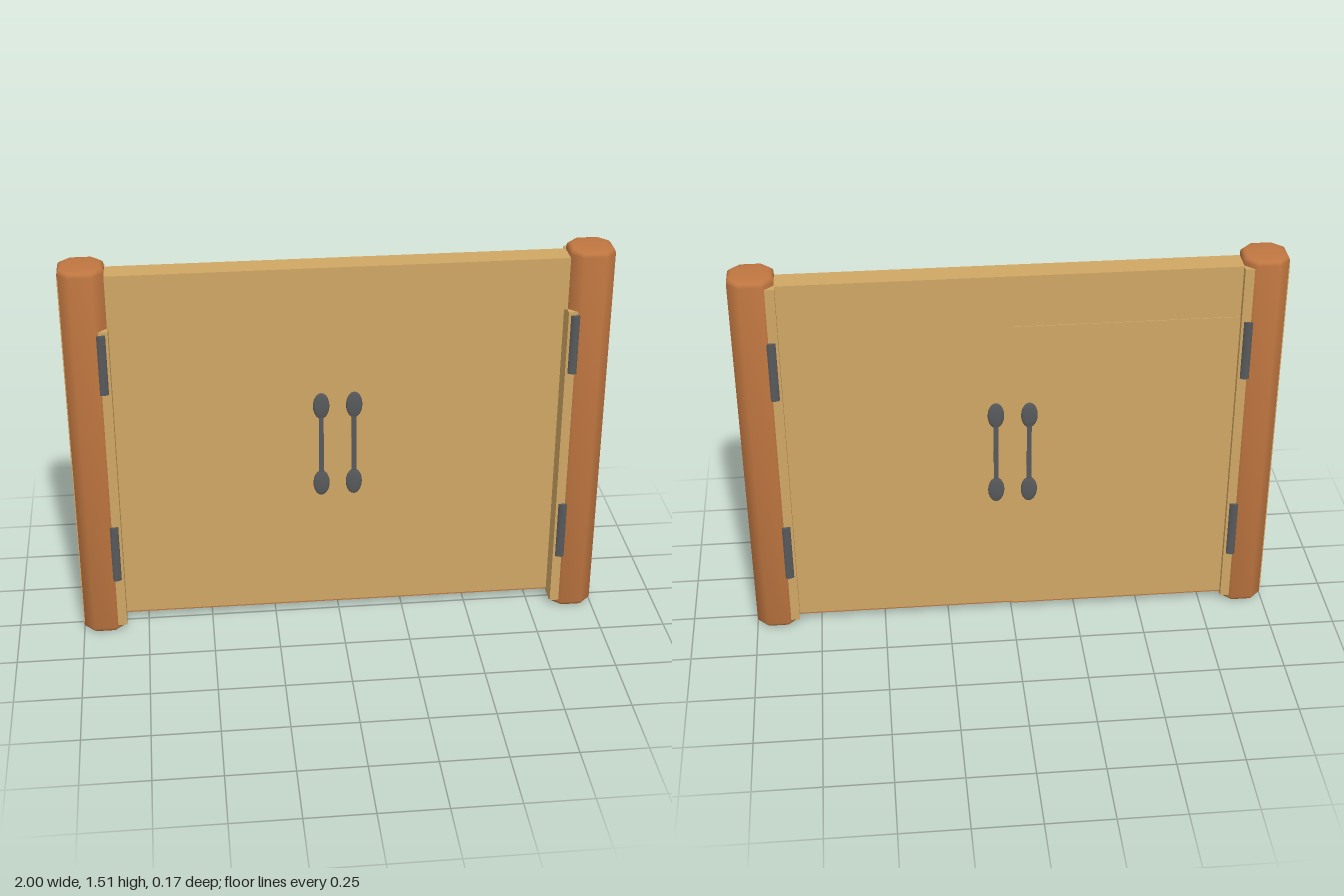
import * as THREE from 'three';
import { toCreasedNormals } from 'three/addons/utils/BufferGeometryUtils.js';

const mat = (name, color) => {
  const m = new THREE.MeshStandardMaterial({ color });
  m.name = name;
  return m;
};

export function createModel() {
  const model = new THREE.Group();
  model.name = 'doubleGate';
  const tan = mat('lightWood', 0xd0a764);
  const brown = mat('darkWood', 0xbf7640);
  const grey = mat('iron', 0x58595b);

  const add = (name, geo, material, x = 0, y = 0, z = 0) => {
    const mesh = new THREE.Mesh(geo, material);
    mesh.name = name;
    mesh.position.set(x, y, z);
    model.add(mesh);
    return mesh;
  };
  // Box given by its minimum and maximum on each axis
  const span = (name, material, x0, x1, y0, y1, z0, z1) =>
    add(name, new THREE.BoxGeometry(Math.abs(x1 - x0), y1 - y0, z1 - z0), material,
      (x0 + x1) / 2, (y0 + y1) / 2, (z0 + z1) / 2);

  // Chamfered post with softly rounded ends
  const bevel = 0.018, height = 1.507;
  const w = 0.082 - bevel, d = 0.084 - bevel, c = 0.031;
  const outline = new THREE.Shape([
    [w, -d + c], [w, d - c], [w - c, d], [-w + c, d],
    [-w, d - c], [-w, -d + c], [-w + c, -d], [w - c, -d],
  ].map(([x, y]) => new THREE.Vector2(x, y)));
  const postGeo = new THREE.ExtrudeGeometry(outline, {
    depth: height - 2 * bevel, bevelEnabled: true,
    bevelSize: bevel, bevelThickness: bevel, bevelSegments: 3,
  });
  postGeo.translate(0, 0, bevel);
  postGeo.rotateX(-Math.PI / 2);
  const roundedPost = toCreasedNormals(postGeo, 0.9);

  const hingeGeo = toCreasedNormals(new THREE.CylinderGeometry(0.026, 0.026, 0.235, 10), 0.9);
  const knobGeo = new THREE.SphereGeometry(1, 14, 10);
  knobGeo.scale(0.031, 0.054, 0.007);

  for (const s of [-1, 1]) {
    const side = s > 0 ? 'left' : 'right';
    add(side + 'Post', roundedPost, brown, s * 0.918);

    // Stiles showing along the inner corners of the post
    span(side + 'FrontStile', tan, s * 0.834, s * 0.9, 0.025, 1.275, 0, 0.075);
    span(side + 'BackStile', tan, s * 0.834, s * 0.9, 0.025, 1.475, -0.075, 0);

    // Door leaf with dark lower edge
    const back = s < 0 ? -0.053 : -0.047;
    span(side + 'Door', tan, 0, s * 0.84, 0.036, 1.273, back, -0.003);
    span(side + 'DoorLowerEdge', brown, 0, s * 0.84, 0.031, 0.036, back, -0.003);

    // Hinges and pull handles on both faces
    for (const f of [-1, 1]) {
      for (const y of [0.35, 1.145]) add(side + 'Hinge', hingeGeo, grey, s * 0.863, y, f * 0.06);
      const z = f > 0 ? -0.003 : back;
      const x = s > 0 ? 0.058 : -0.066;
      for (const y of [0.572, 0.9]) add(side + 'HandleKnob', knobGeo, grey, x, y, z);
      add(side + 'HandleBar', new THREE.BoxGeometry(0.018, 0.33, 0.006), grey, x, 0.736, z);
    }
  }

  // Lintel above the doors
  span('lintel', tan, -0.84, 0.84, 1.273, 1.475, -0.05, 0.043);
  // Pale facing on the outer side of one post
  span('outerFacing', tan, -1.001, -0.995, 0.025, 1.48, -0.045, 0.045);

  return model;
}
